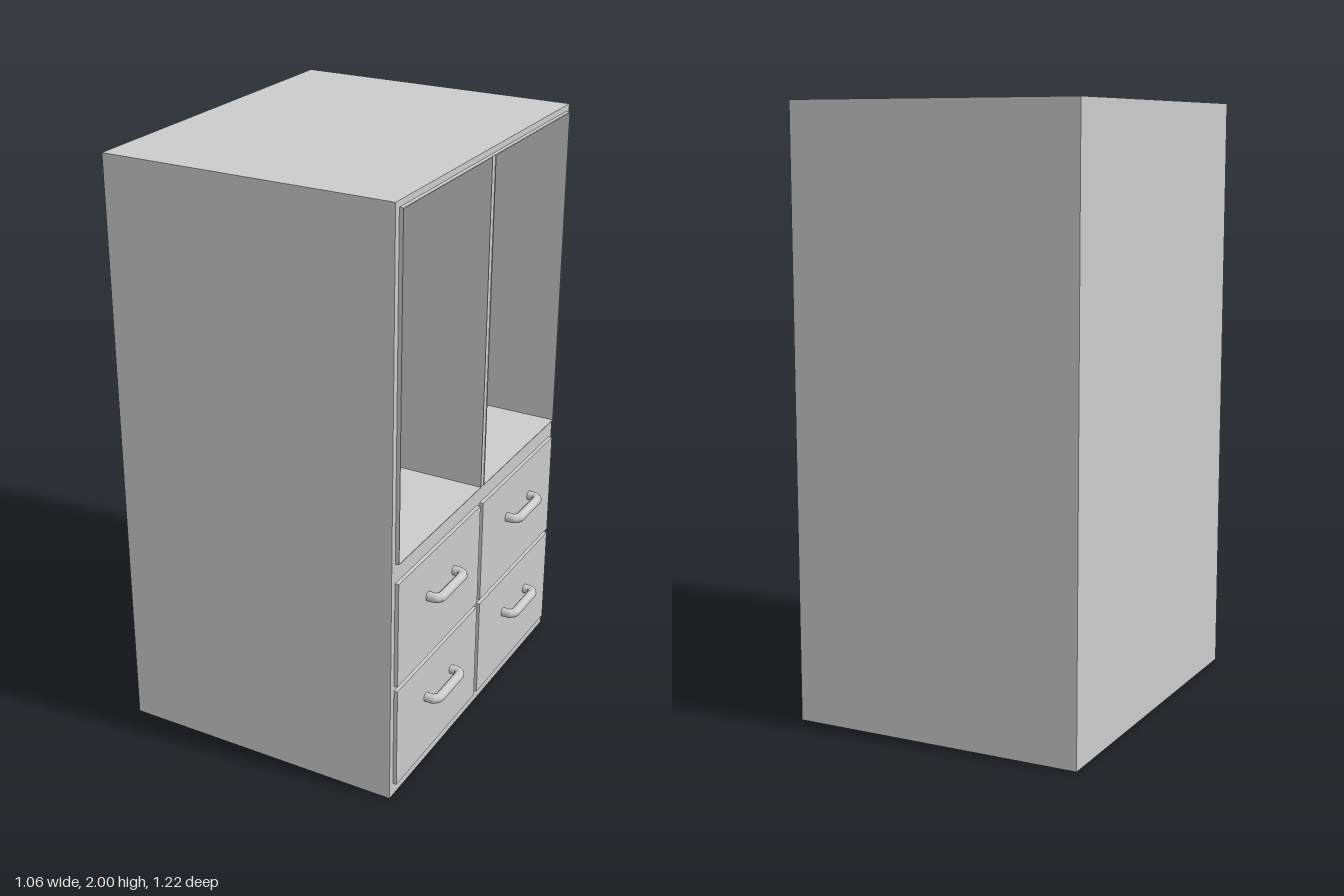
import * as THREE from 'three';

const BACK = -0.53, FRONT = 0.459, LIP = 0.472;
const HALF_Z = 0.608, HEIGHT = 2;
const OPEN = { y0: 0.86, y1: 1.98 };       // upper compartments
const BAYS = [[0.011, 0.586], [-0.586, -0.011]]; // z range of each column
const ROWS = [[0.045, 0.403], [0.42, 0.792]];    // y range of each drawer row
const RIM = 0.003;                               // thickness of the opening rims

// Counter-clockwise rectangle in the (-z, y) plane
function rectPath(PathType, z0, z1, y0, y1, inset = 0) {
  const p = new PathType();
  p.moveTo(-z1 + inset, y0 + inset);
  p.lineTo(-z0 - inset, y0 + inset);
  p.lineTo(-z0 - inset, y1 - inset);
  p.lineTo(-z1 + inset, y1 - inset);
  p.closePath();
  return p;
}

// Extrude a (-z, y) outline along x, from x0 to x1
function extrudeX(shape, x0, x1) {
  const g = new THREE.ExtrudeGeometry(shape, { depth: x1 - x0, bevelEnabled: false });
  return g.rotateY(Math.PI / 2).translate(x0, 0, 0);
}

function boxBetween(x0, x1, y0, y1, z0, z1) {
  return new THREE.BoxGeometry(x1 - x0, y1 - y0, z1 - z0)
    .translate((x0 + x1) / 2, (y0 + y1) / 2, (z0 + z1) / 2);
}

// Bow handle with chamfered corners, standing off the drawer front
function handleGeometry() {
  const x0 = LIP - 0.005, x1 = 0.512, h = 0.092, c = 0.014;
  const pts = [[x0, -h], [x1 - c, -h], [x1, -h + c], [x1, h - c], [x1 - c, h], [x0, h]]
    .map(([x, z]) => new THREE.Vector3(x, 0, z));
  const path = new THREE.CurvePath();
  for (let i = 1; i < pts.length; i++) path.add(new THREE.LineCurve3(pts[i - 1], pts[i]));
  return new THREE.TubeGeometry(path, 60, 0.016, 12, false);
}

export function createModel() {
  const model = new THREE.Group();
  model.name = 'cabinet';
  const mat = new THREE.MeshStandardMaterial({ color: 0xcccccc });
  const add = (name, geometry, parent = model) => {
    const mesh = new THREE.Mesh(geometry, mat);
    mesh.name = name;
    parent.add(mesh);
    return mesh;
  };

  // Carcass with two open compartments above and a solid base
  const body = rectPath(THREE.Shape, -HALF_Z, HALF_Z, 0, HEIGHT);
  for (const [z0, z1] of BAYS) body.holes.push(rectPath(THREE.Path, z0, z1, OPEN.y0, OPEN.y1, RIM));
  add('carcass', extrudeX(body, BACK + 0.02, FRONT));
  add('backPanel', boxBetween(BACK, BACK + 0.02, 0, HEIGHT, -HALF_Z, HALF_Z));

  // Centre divider edge between the compartments
  add('dividerEdge', boxBetween(FRONT, LIP - 0.002, OPEN.y0, OPEN.y1, -0.011, 0.011));

  const handle = handleGeometry();
  for (const [z0, z1] of BAYS) {
    // Thin raised rim around each opening
    const rim = rectPath(THREE.Shape, z0, z1, OPEN.y0, OPEN.y1);
    rim.holes.push(rectPath(THREE.Path, z0, z1, OPEN.y0, OPEN.y1, RIM));
    add('openingRim', extrudeX(rim, FRONT, LIP));

    // Drawer fronts with handles
    for (const [y0, y1] of ROWS) {
      const drawer = new THREE.Group();
      drawer.name = 'drawer';
      add('drawerFront', boxBetween(FRONT, LIP, y0, y1, z0, z1), drawer);
      const grip = add('drawerHandle', handle, drawer);
      grip.position.set(0, (y0 + y1) / 2 + 0.04, (z0 + z1) / 2 - 0.005);
      model.add(drawer);
    }
  }
  return model;
}
